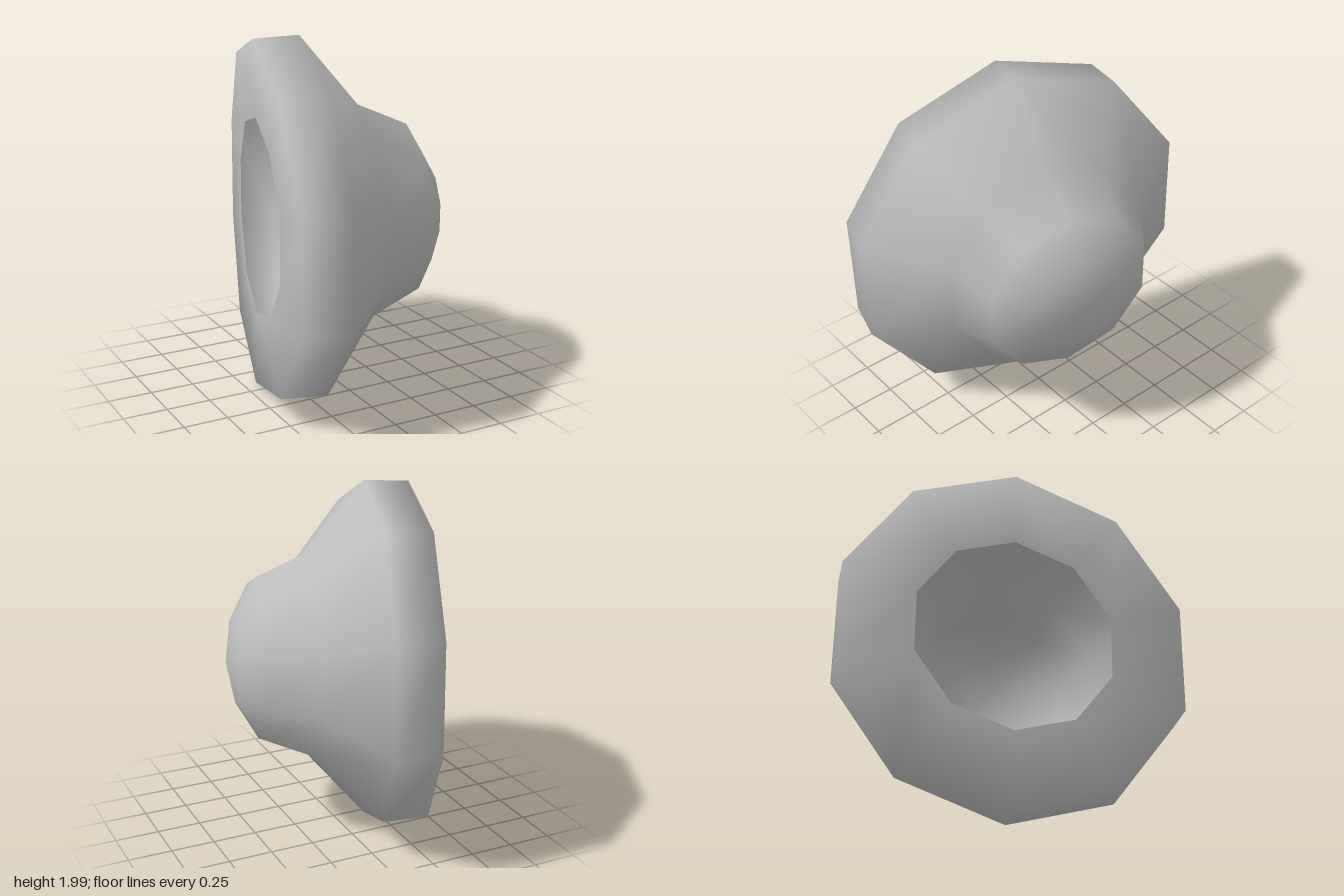
import * as THREE from 'three';
import { mergeVertices } from 'three/addons/utils/BufferGeometryUtils.js';

// Hollow domed cap with a flared, thick brim: ten-sided, smooth, lying on its side
export function createModel() {
  const group = new THREE.Group();
  group.name = 'domedCap';

  const grey = new THREE.MeshStandardMaterial({ color: 0xbcbcbc, side: THREE.DoubleSide });
  grey.name = 'plain grey';

  // Profile as [radius, height along the axis], from the rear opening to the crown
  const profile = [
    [0.56, -0.4],    // opening
    [0.985, -0.375], // rear rim
    [0.995, -0.122], // front rim
    [0.6, 0.173],    // neck
    [0.475, 0.449],  // shoulder
    [0.25, 0.567],
    [0, 0.61],       // crown
  ].map(([r, h]) => new THREE.Vector2(r, h));

  let geometry = new THREE.LatheGeometry(profile, 10);

  // Bend the brim slightly backwards at top and bottom
  const pos = geometry.attributes.position;
  for (let i = 0; i < pos.count; i++) {
    pos.setY(i, pos.getY(i) - 0.055 * pos.getZ(i) ** 2);
  }

  // Lay the axis along +x, turned a little towards the front
  const place = new THREE.Matrix4().makeBasis(
    new THREE.Vector3(-0.236, -0.067, 0.972),
    new THREE.Vector3(0.972, 0.01, 0.236),
    new THREE.Vector3(0, 1, 0.015),
  );
  place.setPosition(-0.01, 1.0, 0.03);
  geometry.applyMatrix4(place);

  // Weld the seam for smooth shading all round
  geometry.deleteAttribute('uv');
  geometry.deleteAttribute('normal');
  geometry = mergeVertices(geometry, 1e-4);
  geometry.computeVertexNormals();

  const cap = new THREE.Mesh(geometry, grey);
  cap.name = 'capShell';
  group.add(cap);
  return group;
}
